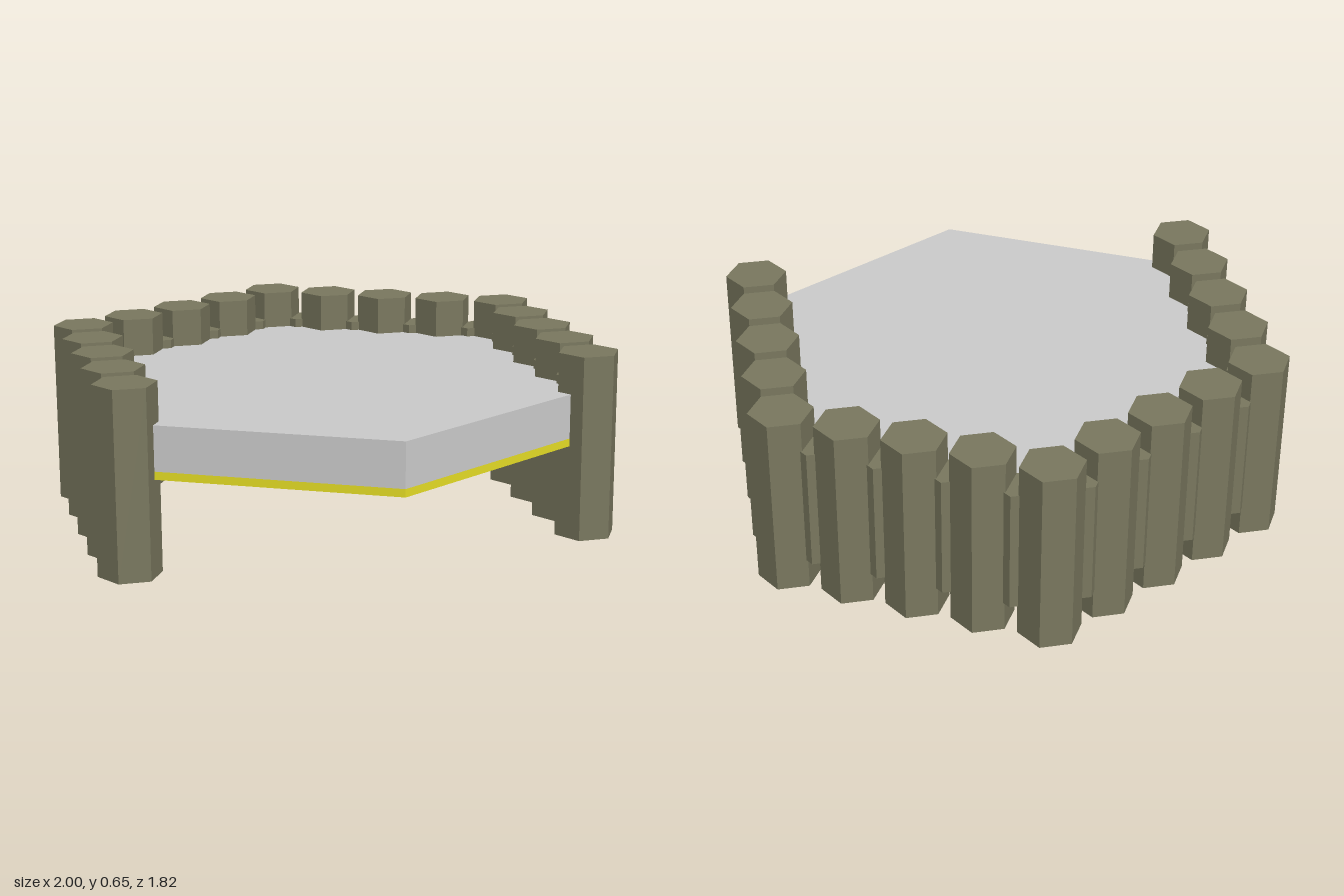
import * as THREE from 'three';

const material = (color) => new THREE.MeshStandardMaterial({ color, flatShading: true });

export function createModel() {
  const model = new THREE.Group();
  model.name = 'palisadePlatform';
  // The whole platform leans very slightly, its left end a touch higher
  const body = new THREE.Group();
  body.name = 'body';
  body.rotation.z = 0.005;
  body.position.y = 0.005;
  model.add(body);

  const stone = material(0x7a785f);
  const grey = material(0xcccccc);
  const yellow = material(0xe6de25);

  // Corners of the hexagonal plan as [x, z]; the last one is left open
  const corners = [[-0.445, 0.8], [-0.907, 0], [-0.443, -0.807], [0.462, -0.798], [0.907, 0], [0.462, 0.79]];

  // Floor slab and the thin layer beneath it
  const outline = new THREE.Shape(corners.map(([x, z]) => new THREE.Vector2(x, -z)));
  function addSlab(name, bottom, top, mat) {
    const geo = new THREE.ExtrudeGeometry(outline, { depth: top - bottom, bevelEnabled: false });
    geo.rotateX(-Math.PI / 2);
    const mesh = new THREE.Mesh(geo, mat);
    mesh.name = name;
    mesh.position.y = bottom;
    body.add(mesh);
  }
  addSlab('floorSlab', 0.35, 0.502, grey);
  addSlab('floorUnderside', 0.323, 0.35, yellow);

  // Six-sided columns: tall posts with shorter, thinner fillers between
  function addColumn(name, x, z, radius, bottom, top) {
    const geo = new THREE.CylinderGeometry(radius, radius, top - bottom, 6);
    const mesh = new THREE.Mesh(geo, stone);
    mesh.name = name;
    mesh.position.set(x, (bottom + top) / 2, z);
    body.add(mesh);
  }

  // Eight half-steps along each walled side: posts on even, fillers on odd
  const steps = 8;
  for (let side = 0; side < 4; side++) {
    const [x0, z0] = corners[side];
    const [x1, z1] = corners[side + 1];
    const last = side === 3 ? steps : steps - 1;
    for (let i = 0; i <= last; i++) {
      const x = THREE.MathUtils.lerp(x0, x1, i / steps);
      const z = THREE.MathUtils.lerp(z0, z1, i / steps);
      if (i % 2 === 0) addColumn('post', x, z, 0.106, 0, 0.636);
      else addColumn('fillerPost', x, z, 0.07, 0.106, 0.533);
    }
  }
  return model;
}
